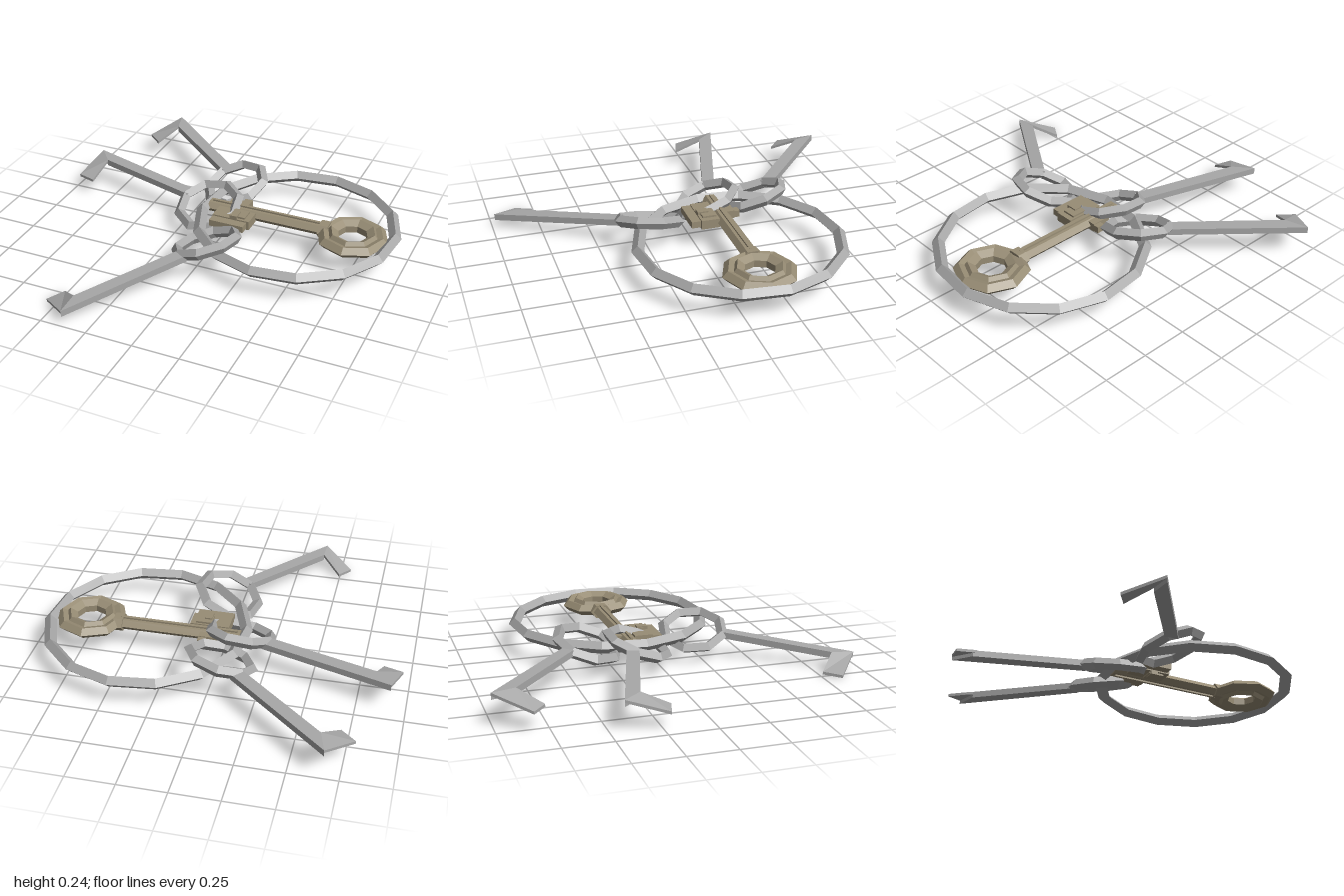
import * as THREE from 'three';

const material = (name, color) => {
  const m = new THREE.MeshStandardMaterial({ color, flatShading: true });
  m.name = name;
  return m;
};

export function createModel() {
  const steel = material('steel', 0xa8a8a8);
  const brass = material('agedBrass', 0x988d75);
  const model = new THREE.Group();
  model.name = 'keyRing';

  const add = (parent, name, geometry, mat, x = 0, y = 0, z = 0) => {
    const mesh = new THREE.Mesh(geometry, mat);
    mesh.name = name;
    mesh.position.set(x, y, z);
    parent.add(mesh);
    return mesh;
  };

  // Horizontal ring with a diamond cross-section
  const ringGeometry = (radius, tube, sides) =>
    new THREE.TorusGeometry(radius, tube, 4, sides).rotateX(-Math.PI / 2);

  // Four-cornered plate: top corners counter-clockwise from above, given thickness
  const slab = (corners, thickness) => {
    const bottom = corners.map(([x, y, z]) => [x, y - thickness, z]);
    const index = [0, 1, 2, 0, 2, 3, 4, 6, 5, 4, 7, 6];
    for (let i = 0; i < 4; i++) {
      const j = (i + 1) % 4;
      index.push(i, i + 4, j, j, i + 4, j + 4);
    }
    const g = new THREE.BufferGeometry();
    g.setAttribute('position', new THREE.Float32BufferAttribute([...corners, ...bottom].flat(), 3));
    g.setIndex(index);
    g.computeVertexNormals();
    return g;
  };

  // Large carrying ring
  add(model, 'carryingRing', ringGeometry(0.528, 0.033, 14), steel, 0.405, 0.113, -0.15)
    .rotation.y = THREE.MathUtils.degToRad(7);

  // Steel keys: rolled bow, flat shank and a tooth folded downward on one side
  const steelKey = (name, [x, y, z], [dx, dz], side, pitch) => {
    const key = new THREE.Group();
    key.name = name;
    key.position.set(x, y, z);
    key.rotation.set(0, Math.atan2(-dz, dx), pitch);
    model.add(key);
    add(key, 'bow', ringGeometry(0.167, 0.031, 8), steel).rotation.x = side * 0.36;
    const place = (pts) => {
      const out = pts.map(([a, b, c]) => [a, b, c * side]);
      return side > 0 ? out : out.reverse();
    };
    add(key, 'shank', slab(place([
      [0.15, 0.02, -0.055], [0.15, 0.02, 0.012], [0.765, 0.02, 0.012], [0.872, 0.02, -0.06],
    ]), 0.035), steel);
    add(key, 'tooth', slab(place([
      [0.872, 0.02, -0.06], [0.765, 0.02, 0.012], [0.75, -0.045, 0.155], [0.855, -0.045, 0.155],
    ]), 0.015), steel);
  };
  steelKey('backKey', [-0.05, 0.13, -0.39], [-0.76, -0.65], -1, 0);
  steelKey('middleKey', [-0.1, 0.12, -0.13], [-0.959, -0.282], -1, 0);
  steelKey('frontKey', [0.045, 0.118, 0.23], [-0.558, 0.83], 1, -0.095);

  // Brass key
  const key = new THREE.Group();
  key.name = 'brassKey';
  key.position.y = 0.113;
  model.add(key);

  // Eight-sided bow with a raised inner rim
  const half = [[0.195, 0], [0.165, 0.03], [0.135, 0.02], [0.12, 0.04], [0.08, 0.018]];
  const profile = [...half.map(([r, y]) => [r, -y]).reverse(), ...half.slice(1), [0.08, -0.018]];
  // Remove the duplicate closing edge direction by listing the loop bottom to top
  add(key, 'bow', new THREE.LatheGeometry(profile.map(([r, y]) => new THREE.Vector2(r, y)), 8),
    brass, 0.72, 0, -0.14);

  // Ridged shank with collar and end knob
  const rod = (radius, length) =>
    new THREE.CylinderGeometry(radius, radius, length, 6).rotateZ(Math.PI / 2).scale(1, 0.7, 1);
  add(key, 'shank', rod(0.046, 0.67), brass, 0.235, 0, -0.155);
  add(key, 'collar', rod(0.06, 0.05), brass, 0.56, 0, -0.155);
  add(key, 'rib', new THREE.BoxGeometry(0.64, 0.074, 0.014), brass, 0.235, 0, -0.155);

  // Stepped bit
  const box = (name, x0, x1, z0, z1, h) => add(key, name,
    new THREE.BoxGeometry(x1 - x0, h, z1 - z0), brass, (x0 + x1) / 2, 0, (z0 + z1) / 2);
  box('bitPlate', -0.03, 0.18, -0.12, -0.02, 0.05);
  box('bitEdge', -0.03, 0.165, -0.02, 0.03, 0.036);
  box('bitBlock', 0.065, 0.15, -0.11, -0.035, 0.07);
  box('bitStud', 0.07, 0.11, -0.08, -0.02, 0.085);
  box('backLug', 0.0, 0.11, -0.225, -0.18, 0.045);
  box('backStud', 0.065, 0.11, -0.255, -0.22, 0.036);

  return model;
}
